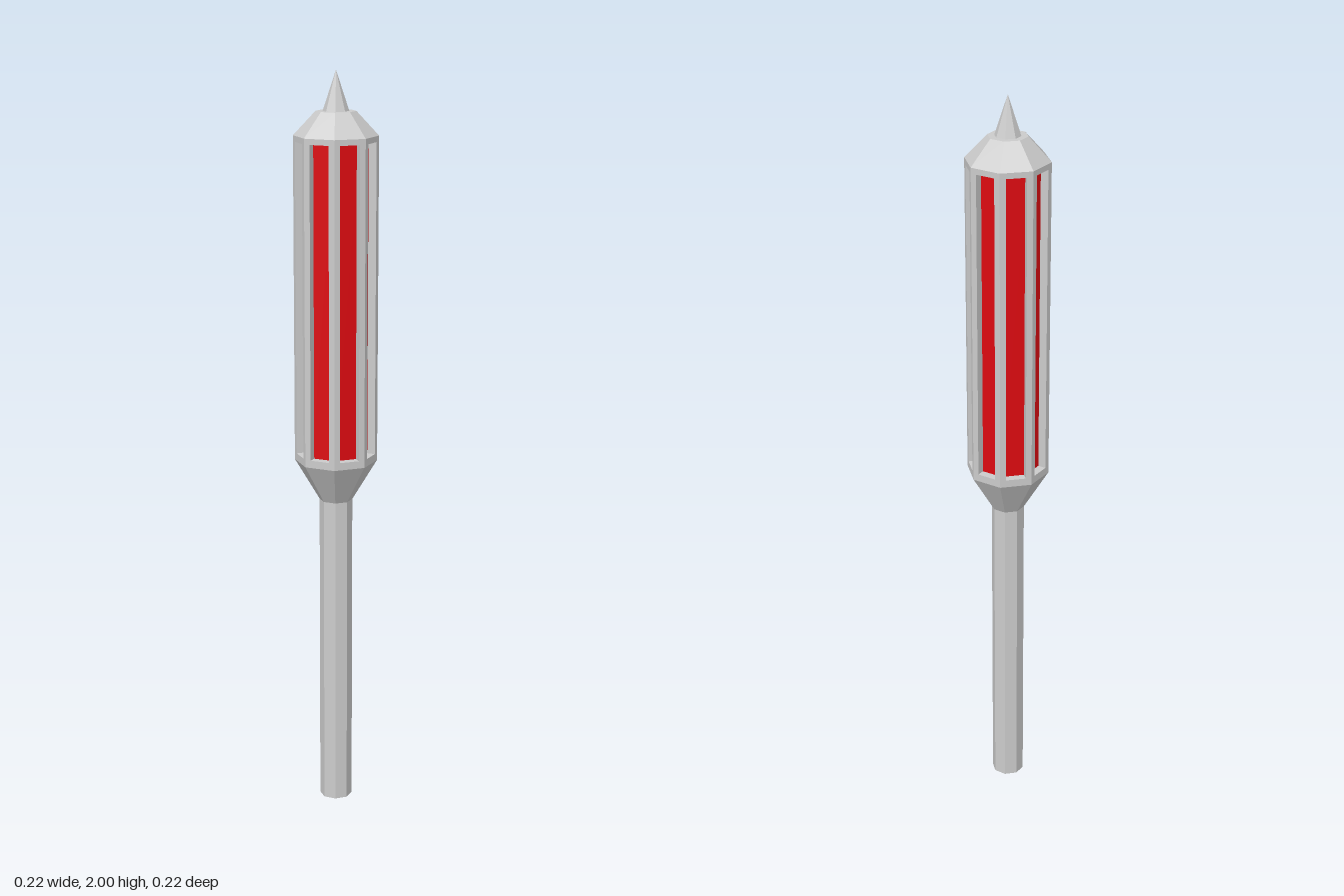
import * as THREE from 'three';

const SIDES = 8;
const R = 0.11;                                   // body corner radius
const APOTHEM = R * Math.cos(Math.PI / SIDES);
const HALF = R * Math.sin(Math.PI / SIDES);       // half a face width
const DEPTH = 0.022;                              // window recess
const Y0 = 0.975, Y1 = 1.835;                     // body bottom and top

const grey = new THREE.MeshStandardMaterial({ color: 0xcccccc, flatShading: true });
const red = new THREE.MeshStandardMaterial({ color: 0xdd0a10, flatShading: true });

// Octagonal section between two heights
function section(name, rBottom, rTop, y0, y1, material = grey) {
  const geo = new THREE.CylinderGeometry(rTop, rBottom, y1 - y0, SIDES);
  const mesh = new THREE.Mesh(geo, material);
  mesh.name = name;
  mesh.position.y = (y0 + y1) / 2;
  return mesh;
}

// One body face with a window cut through it, mitred at the corners
function frameGeometry() {
  const rect = (Type, w, y0, y1) => new Type([
    new THREE.Vector2(-w, y0), new THREE.Vector2(w, y0),
    new THREE.Vector2(w, y1), new THREE.Vector2(-w, y1),
  ]);
  const shape = rect(THREE.Shape, HALF, Y0, Y1);
  shape.holes.push(rect(THREE.Path, 0.0265, 0.995, 1.82));
  const geo = new THREE.ExtrudeGeometry(shape, { depth: DEPTH, bevelEnabled: false });
  const p = geo.attributes.position;
  for (let i = 0; i < p.count; i++) {
    if (p.getZ(i) < DEPTH / 2 && Math.abs(p.getX(i)) > HALF - 0.001) {
      p.setX(i, p.getX(i) * (APOTHEM - DEPTH) / APOTHEM);
    }
  }
  geo.translate(0, 0, APOTHEM - DEPTH);
  geo.computeVertexNormals();
  return geo;
}

export function createModel() {
  const model = new THREE.Group();
  model.name = 'lampPost';

  // Pole and flared collar
  model.add(section('pole', 0.044, 0.044, 0, 0.865));
  model.add(section('collar', 0.044, R, 0.865, Y0));

  // Red core seen through the windows
  const coreR = (APOTHEM - DEPTH) / Math.cos(Math.PI / SIDES);
  model.add(section('core', coreR, coreR, Y0, Y1, red));

  // Eight window frames
  const frames = new THREE.Group();
  frames.name = 'windowFrames';
  const geo = frameGeometry();
  for (let i = 0; i < SIDES; i++) {
    const frame = new THREE.Mesh(geo, grey);
    frame.name = 'windowFrame';
    frame.rotation.y = (i + 0.5) * 2 * Math.PI / SIDES;
    frames.add(frame);
  }
  model.add(frames);

  // Sloped cap and spike
  model.add(section('cap', R, 0.052, Y1, 1.897));
  model.add(section('spike', 0.034, 0, 1.897, 2));

  return model;
}
